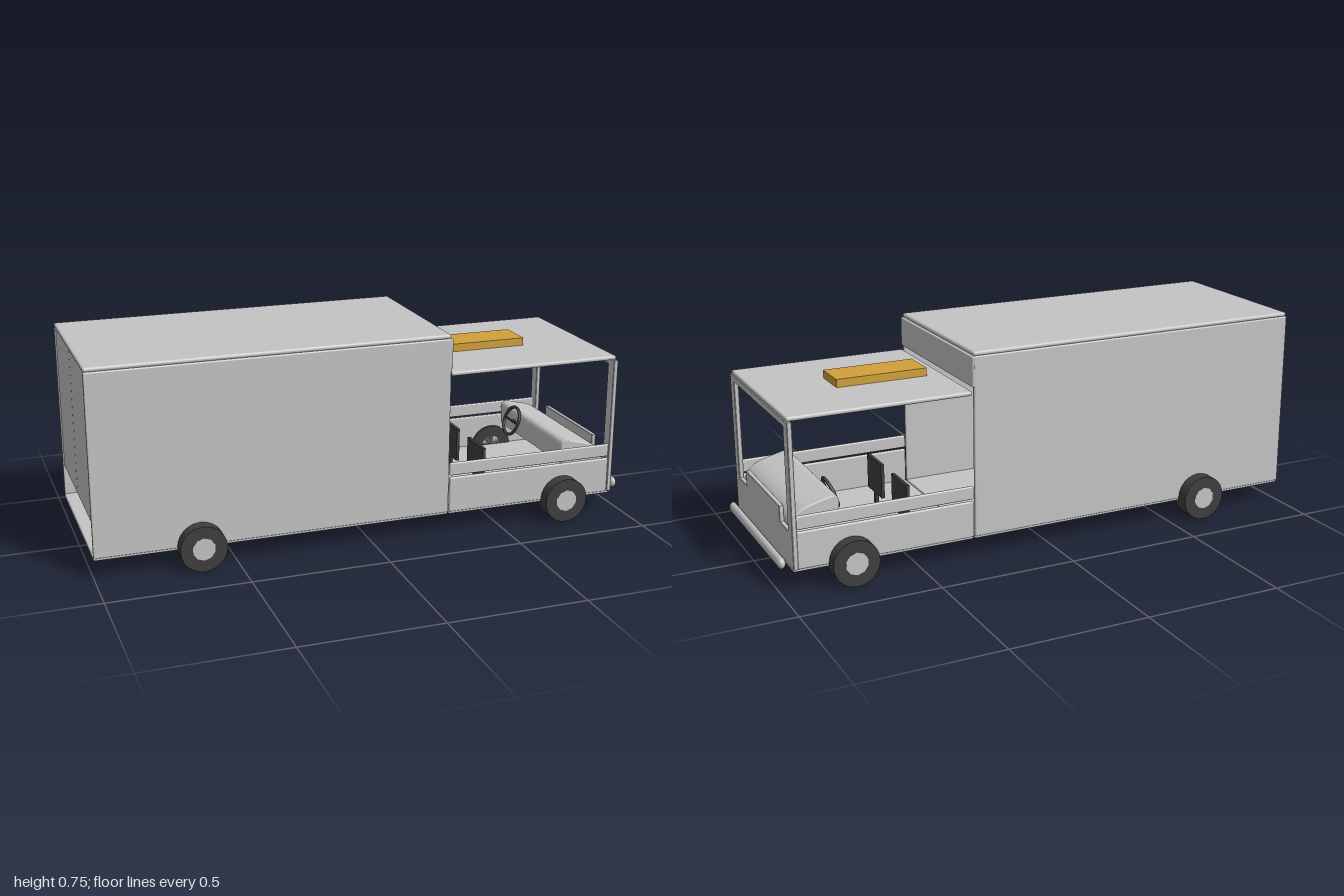
import * as THREE from 'three';
import { RoundedBoxGeometry } from 'three/addons/geometries/RoundedBoxGeometry.js';

export function createModel() {
  const model = new THREE.Group();
  model.name = 'boxTruck';
  const paint = (name, color) => new THREE.MeshStandardMaterial({ name, color });
  const gray = paint('bodyGray', 0xc4c4c4);
  const dark = paint('rubberDark', 0x3e3e3e);
  const amber = paint('lampAmber', 0xd2a03a);

  function add(name, geometry, material, x = 0, y = 0, z = 0, parent = model) {
    const mesh = new THREE.Mesh(geometry, material);
    mesh.name = name;
    mesh.position.set(x, y, z);
    parent.add(mesh);
    return mesh;
  }
  // Box given by its limits on each axis; r rounds the edges
  function panel(name, [x0, x1], [y0, y1], [z0, z1], material = gray, r = 0.005) {
    const size = [x1 - x0, y1 - y0, z1 - z0];
    const geo = r ? new RoundedBoxGeometry(...size, 2, r) : new THREE.BoxGeometry(...size);
    return add(name, geo, material, (x0 + x1) / 2, (y0 + y1) / 2, (z0 + z1) / 2);
  }

  const CARGO = [-1, 0.293], CAB = [0.297, 0.955];

  // Floors and roofs
  panel('cargoFloor', CARGO, [0.07, 0.087], [-0.316, 0.316]);
  panel('cabFloor', CAB, [0.07, 0.087], [-0.316, 0.316]);
  panel('cargoRoof', CARGO, [0.73, 0.747], [-0.316, 0.316], gray, 0.008);
  panel('cabRoof', CAB, [0.593, 0.609], [-0.316, 0.316], gray, 0.007);

  // Side walls, mirrored
  for (const s of [1, -1]) {
    const wall = (a, b) => [Math.min(s * a, s * b), Math.max(s * a, s * b)];
    panel('cargoSide', CARGO, [0.08, 0.732], wall(0.306, 0.321));
    panel('cabSideLower', CAB, [0.08, 0.212], wall(0.306, 0.321));
    panel('cabSideRail', [0.297, 0.945], [0.219, 0.267], wall(0.306, 0.319));
    panel('rearDoor', [-0.995, -0.982], [0.2, 0.732], wall(0.001, 0.308), gray, 0);
    panel('seatBack', [0.485, 0.497], [0.13, 0.26], wall(0.05, 0.19), dark, 0);
    panel('seatPost', [0.485, 0.497], [0.085, 0.13], wall(0.11, 0.13), dark, 0);
  }

  // Wall above the cab
  panel('cargoFrontHeader', [0.285, 0.299], [0.622, 0.731], [-0.32, 0.32]);

  // Front frame with the windscreen opening and a raised middle of the sill
  const frame = new THREE.Shape();
  frame.moveTo(-0.325, 0.085);
  frame.lineTo(0.325, 0.085);
  frame.lineTo(0.325, 0.592);
  frame.lineTo(-0.325, 0.592);
  const opening = new THREE.Path();
  [[-0.285, 0.207], [-0.285, 0.573], [0.285, 0.573], [0.285, 0.207],
    [0.192, 0.207], [0.192, 0.263], [-0.192, 0.263], [-0.192, 0.207]]
    .forEach(([x, y], i) => (i ? opening.lineTo(x, y) : opening.moveTo(x, y)));
  frame.holes.push(opening);
  const frameGeo = new THREE.ExtrudeGeometry(frame, {
    depth: 0.013, bevelEnabled: true, bevelThickness: 0.002, bevelSize: 0.002, bevelSegments: 1,
  });
  frameGeo.rotateY(Math.PI / 2);
  add('frontFrame', frameGeo, gray, 0.942);

  // Dashboard with a curved top running across the cab
  const dash = new THREE.Shape();
  dash.moveTo(0.77, 0.2);
  dash.lineTo(0.765, 0.265);
  dash.quadraticCurveTo(0.765, 0.289, 0.79, 0.286);
  dash.lineTo(0.86, 0.268);
  dash.quadraticCurveTo(0.93, 0.25, 0.935, 0.2);
  const dashGeo = new THREE.ExtrudeGeometry(dash, {
    depth: 0.51, bevelEnabled: true, bevelThickness: 0.01, bevelSize: 0.004, bevelSegments: 3, curveSegments: 8,
  });
  add('dashboard', dashGeo, gray, 0, 0, -0.235);

  // Steering wheel and column
  const steering = new THREE.Group();
  steering.name = 'steering';
  steering.position.set(0.745, 0.25, -0.105);
  steering.rotation.z = -0.35;
  model.add(steering);
  const rim = new THREE.TorusGeometry(0.056, 0.006, 8, 28).rotateY(Math.PI / 2);
  add('steeringWheel', rim, dark, 0, 0, 0, steering);
  const column = new THREE.CylinderGeometry(0.006, 0.006, 0.06, 8).rotateZ(Math.PI / 2);
  add('steeringColumn', column, dark, 0.03, 0, 0, steering);
  add('steeringSpoke', new THREE.BoxGeometry(0.005, 0.008, 0.11), dark, 0, 0, 0, steering);

  // Spare tyre standing against the inner wall
  add('spareTyre', new THREE.TorusGeometry(0.09, 0.011, 8, 28), dark, 0.1, 0.19, -0.262);

  // Front bumper
  const bumper = new THREE.CapsuleGeometry(0.02, 0.565, 6, 16).rotateX(Math.PI / 2).scale(0.7, 1, 1);
  add('bumper', bumper, gray, 0.986, 0.099, 0);

  // Roof lamp
  panel('roofLamp', [0.36, 0.695], [0.608, 0.638], [-0.068, 0.068], amber, 0);

  // Wheels with light hubs
  for (const x of [-0.63, 0.75]) {
    for (const s of [1, -1]) {
      const tyre = new THREE.CylinderGeometry(0.083, 0.083, 0.069, 24).rotateX(Math.PI / 2);
      add('tyre', tyre, dark, x, 0.083, s * 0.332);
      const hub = new THREE.CylinderGeometry(0.041, 0.041, 0.07, 10).rotateX(Math.PI / 2);
      add('hub', hub, gray, x, 0.083, s * 0.3325);
    }
  }
  return model;
}
